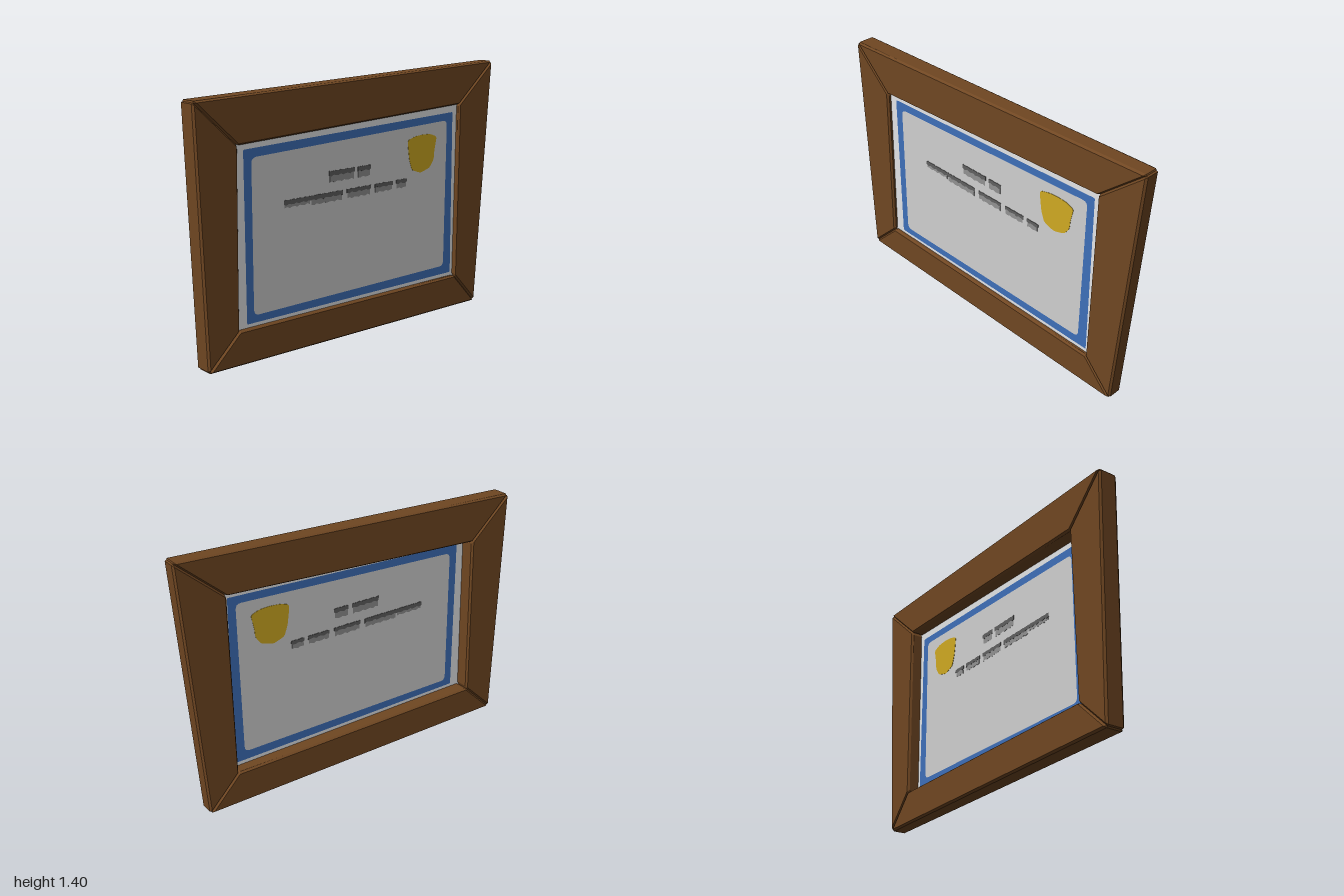
import * as THREE from 'three';
import { ConvexGeometry } from 'three/addons/geometries/ConvexGeometry.js';

// All outlines are [u, y] points on the wall plane, where u = -z.
const OUTER = [[-1, 1.338], [1, 1.4], [0.9, 0], [-0.957, 0.024]];
const INNER = [[-0.759, 1.111], [0.737, 1.174], [0.727, 0.186], [-0.773, 0.2]];
const MARGIN = [[-0.768, 1.119], [0.746, 1.182], [0.735, 0.178], [-0.782, 0.192]];
const BORDER = [[-0.716, 1.084], [0.705, 1.132], [0.71, 0.206], [-0.716, 0.217]];
const SHEET = [[-0.67, 1.041], [0.662, 1.09], [0.653, 0.254], [-0.673, 0.254]];
const PAPER_X = 0.03;

const mat = (name, color) => {
  const m = new THREE.MeshStandardMaterial({ color });
  m.name = name;
  return m;
};

// Bevelled wooden board between two mitre lines; the back tapers along its length
function board(a, b, c, d, bevel) {
  const quad = [a, b, c, d];
  const at = ([u, y], front) => new THREE.Vector3(front ? 0.055 : -0.045 + 0.01 * u, y, -u);
  const pts = [];
  for (const front of [true, false]) {
    quad.forEach((q, i) => {
      const p = at(q, front);
      const edges = [at(quad[(i + 1) % 4], front), at(quad[(i + 3) % 4], front), at(q, !front)]
        .map((o) => o.sub(p).normalize().multiplyScalar(bevel));
      for (let k = 0; k < 3; k++) {
        pts.push(p.clone().add(edges[k]).add(edges[(k + 1) % 3]));
      }
    });
  }
  return new ConvexGeometry(pts);
}

// Polygon with rounded corners
function rounded(points, r) {
  const path = new THREE.Shape();
  const v = points.map((p) => new THREE.Vector2(...p));
  v.forEach((p, i) => {
    const toward = (q) => q.clone().sub(p).normalize().multiplyScalar(r).add(p);
    const s = toward(v[(i + v.length - 1) % v.length]);
    const e = toward(v[(i + 1) % v.length]);
    if (i === 0) path.moveTo(s.x, s.y);
    else path.lineTo(s.x, s.y);
    path.quadraticCurveTo(p.x, p.y, e.x, e.y);
  });
  path.closePath();
  return path;
}

// Thin plate centred on the paper plane, showing on both sides
function plate(shape, thickness) {
  const g = new THREE.ExtrudeGeometry(shape, { depth: thickness, bevelEnabled: false, curveSegments: 4 });
  g.translate(0, 0, -thickness / 2);
  g.rotateY(Math.PI / 2);
  g.translate(PAPER_X, 0, 0);
  return g;
}

// Ragged strip suggesting a written word
function scribble(u0, u1, y0, y1, seed) {
  const n = Math.max(4, Math.round((u1 - u0) / 0.016));
  const wob = (i, k) => 0.004 * Math.sin(i * 2.3 + seed * k);
  const pts = [];
  for (let i = 0; i <= n; i++) pts.push(new THREE.Vector2(u0 + ((u1 - u0) * i) / n, y1 + wob(i, 1.7) * 0.4));
  for (let i = n; i >= 0; i--) pts.push(new THREE.Vector2(u0 + ((u1 - u0) * i) / n, y0 + wob(i, 3.1)));
  return new THREE.Shape(pts);
}

export function createModel() {
  const wood = mat('brown wood', 0x704722);
  const white = mat('white margin', 0xeceef0);
  const paper = mat('grey paper', 0xd0d0d0);
  const blue = mat('blue border', 0x3e6fb9);
  const gold = mat('gold seal', 0xd0aa22);
  const inkLight = mat('light ink', 0x929292);
  const inkDark = mat('dark ink', 0x606060);

  const model = new THREE.Group();
  model.name = 'framedCertificate';
  const add = (name, geometry, material, parent = model) => {
    const m = new THREE.Mesh(geometry, material);
    m.name = name;
    parent.add(m);
  };

  // Frame of four mitred boards
  const frame = new THREE.Group();
  frame.name = 'frame';
  model.add(frame);
  ['topBoard', 'rearBoard', 'bottomBoard', 'frontBoard'].forEach((name, i) => {
    const j = (i + 1) % 4;
    add(name, board(OUTER[i], OUTER[j], INNER[j], INNER[i], 0.012), wood, frame);
  });

  // Paper: white margin, blue border, inner sheet
  const margin = rounded(MARGIN, 0.002);
  margin.holes.push(rounded(BORDER, 0.008));
  add('paperMargin', plate(margin, 0.004), white);
  const border = rounded(BORDER, 0.008);
  border.holes.push(rounded(SHEET, 0.03));
  add('paperBorder', plate(border, 0.004), blue);
  add('paperSheet', plate(rounded(SHEET, 0.03), 0.004), paper);

  // Seal
  const seal = [[0.362, 1.01], [0.42, 1.026], [0.48, 1.03], [0.535, 1.026], [0.582, 1.008], [0.565, 0.93],
    [0.562, 0.885], [0.53, 0.84], [0.46, 0.82], [0.395, 0.843], [0.375, 0.9], [0.365, 0.97]];
  add('seal', plate(rounded(seal, 0.015), 0.007), gold);

  // Written lines: dark upper stroke over a lighter lower one
  const writing = new THREE.Group();
  writing.name = 'writing';
  model.add(writing);
  const words = [
    [-0.19, -0.018, 0.912, 0.888, 0.855], [0.003, 0.094, 0.912, 0.888, 0.855],
    [-0.48, -0.31, 0.803, 0.78, 0.765], [-0.31, -0.1, 0.803, 0.78, 0.755],
    [-0.072, 0.094, 0.803, 0.783, 0.755], [0.123, 0.255, 0.803, 0.783, 0.757],
    [0.278, 0.357, 0.803, 0.783, 0.757],
  ];
  words.forEach(([u0, u1, top, mid, low], i) => {
    add('wordLower', plate(scribble(u0 + 0.004, u1 - 0.006, low, mid + 0.006, i), 0.006), inkLight, writing);
    add('wordUpper', plate(scribble(u0, u1, mid, top, i + 5), 0.008), inkDark, writing);
  });

  return model;
}
